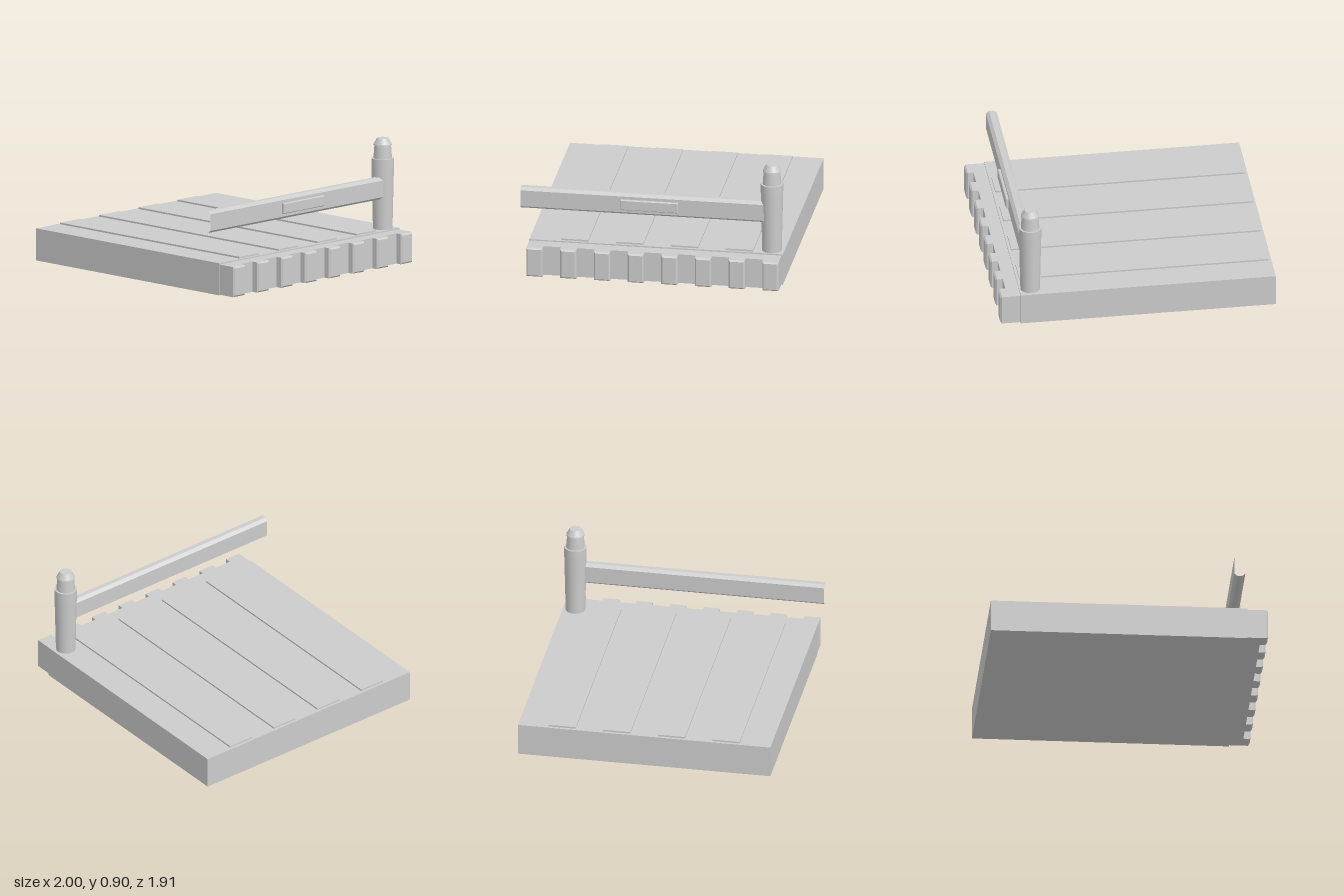
import * as THREE from 'three';

const material = new THREE.MeshStandardMaterial({ color: 0xcccccc });

function add(group, name, geometry) {
  const mesh = new THREE.Mesh(geometry, material);
  mesh.name = name;
  group.add(mesh);
  return mesh;
}

// Box given by its minimum and maximum corners
function box(x0, x1, y0, y1, z0, z1) {
  return new THREE.BoxGeometry(x1 - x0, y1 - y0, z1 - z0)
    .translate((x0 + x1) / 2, (y0 + y1) / 2, (z0 + z1) / 2);
}

// Box whose +x face has chamfered edges
function chamferedBox(x0, x1, y0, y1, z0, z1, c) {
  const shape = new THREE.Shape([
    new THREE.Vector2(-z1, y0), new THREE.Vector2(-z0, y0),
    new THREE.Vector2(-z0, y1), new THREE.Vector2(-z1, y1),
  ]);
  return new THREE.ExtrudeGeometry(shape, {
    depth: x1 - x0 - 2 * c, bevelEnabled: true, bevelSegments: 1,
    bevelSize: c, bevelThickness: c, bevelOffset: -c,
  }).translate(0, 0, x0 + c).rotateY(Math.PI / 2);
}

// Open-ended tube: a counter-clockwise [x, y] outline swept along z
function openTube(outline, z0, z1) {
  const positions = [];
  outline.forEach(([ax, ay], i) => {
    const [bx, by] = outline[(i + 1) % outline.length];
    positions.push(ax, ay, z1, ax, ay, z0, bx, by, z0);
    positions.push(ax, ay, z1, bx, by, z0, bx, by, z1);
  });
  const geometry = new THREE.BufferGeometry();
  geometry.setAttribute('position', new THREE.Float32BufferAttribute(positions, 3));
  geometry.computeVertexNormals();
  return geometry;
}

export function createModel() {
  const model = new THREE.Group();
  model.name = 'dockSection';

  // Deck slab with raised planks
  add(model, 'deck', box(-1, 0.85, 0, 0.235, -0.957, 0.888));
  for (let i = 0; i < 4; i++) {
    const z = -0.637 + i * 0.399;
    add(model, 'plank', box(-0.98, 0.83, 0.22, 0.247, z - 0.099, z + 0.099));
  }

  // Edge beam with a row of bumper blocks
  add(model, 'edgeBeam', box(0.84, 0.945, 0.005, 0.226, -0.947, 0.886));
  for (let i = 0; i < 8; i++) {
    const z = -0.888 + i * 0.2451;
    add(model, 'bumper', chamferedBox(0.92, 0.997, 0.005, 0.226, z - 0.059, z + 0.059, 0.011));
  }

  // Post: tapered shaft, neck and cap, each with its own smooth wall
  const post = new THREE.Group();
  post.name = 'post';
  post.position.set(0.77, 0, -0.865);
  model.add(post);
  const sections = [
    ['shaft', 0.07, 0.22, 0.081, 0.69],
    ['shaftTop', 0.081, 0.69, 0.081, 0.75],
    ['neck', 0.067, 0.75, 0.06, 0.845],
    ['capRim', 0.066, 0.845, 0.064, 0.855],
    ['cap', 0.064, 0.855, 0.041, 0.896],
  ];
  for (const [name, r0, y0, r1, y1] of sections) {
    add(post, name, new THREE.CylinderGeometry(r1, r0, y1 - y0, 32))
      .position.y = (y0 + y1) / 2;
  }

  // Hollow barrier arm with chamfered corners, open at its free end
  const outline = [
    [0.77, 0.46], [0.805, 0.46], [0.828, 0.478], [0.828, 0.6],
    [0.805, 0.62], [0.77, 0.62], [0.748, 0.6], [0.748, 0.478],
  ];
  add(model, 'arm', openTube(outline, -0.84, 0.956));
  add(model, 'armPlate', chamferedBox(0.82, 0.848, 0.502, 0.579, -0.193, 0.225, 0.005));

  return model;
}
